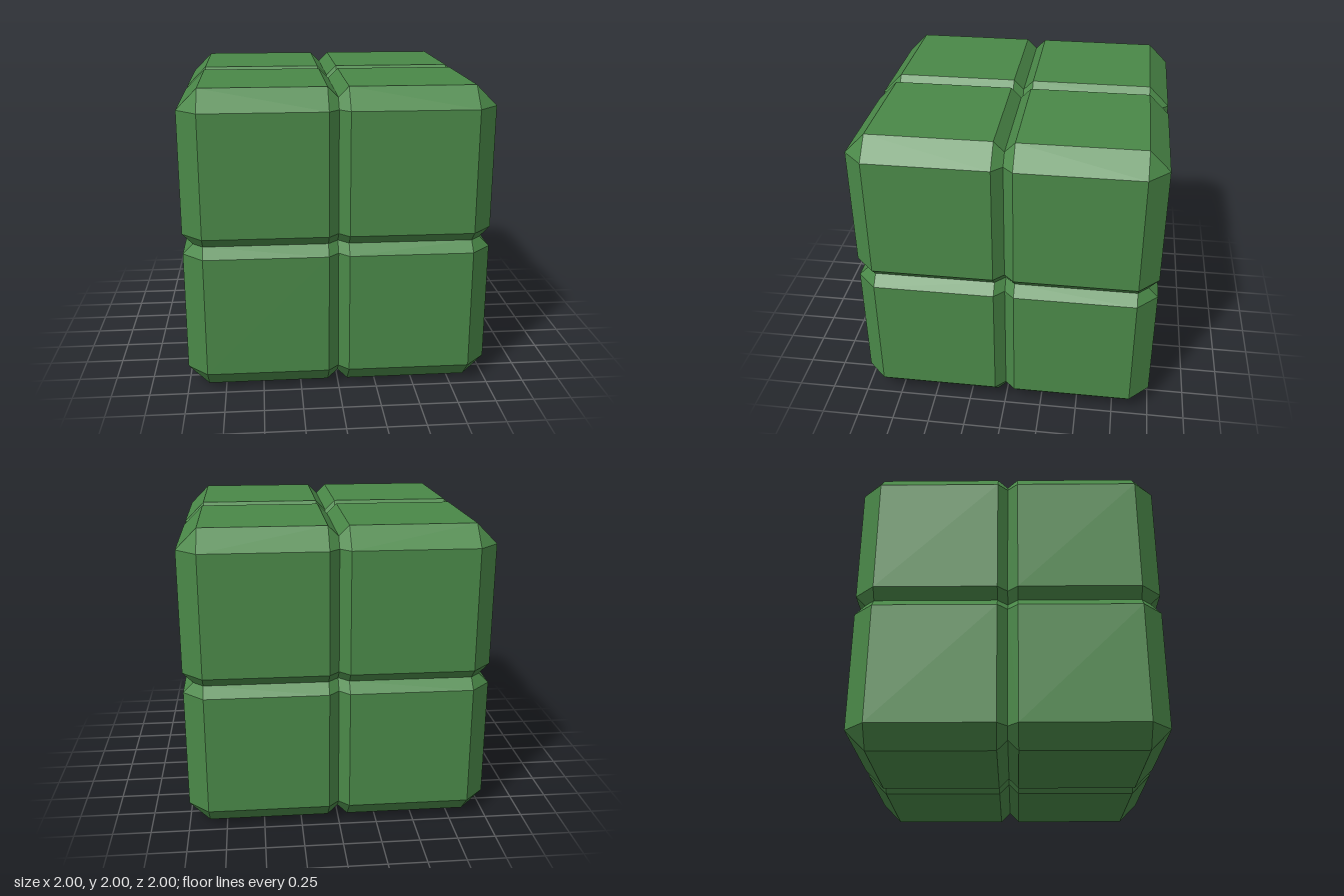
import * as THREE from 'three';
import { ConvexGeometry } from 'three/addons/geometries/ConvexGeometry.js';

// One octant block from 0 to 1: narrow bevels beside the seams, wide bevels on the outer edges
function blockPoints() {
  const a = 1 / 15;      // seam bevel
  const s = 1 - a;       // seam depth level
  const b = 1 - 2 * a;   // outer bevel start
  const pattern = [
    [1, b, b],                                      // outer corner
    [1, a, b], [b, a, 1], [b, 0, s], [s, 0, b],     // seam meeting an outer edge
    [1, a, a], [s, a, 0], [s, 0, a], [b, 0, 0],     // seam crossing on a face
  ];
  const points = [[0, 0, 0]];
  for (const [x, y, z] of pattern) points.push([x, y, z], [z, x, y], [y, z, x]);
  return points;
}

export function createModel() {
  const group = new THREE.Group();
  group.name = 'segmentedCube';
  const green = new THREE.MeshStandardMaterial({ color: 0x4a8848 });
  green.name = 'leaf green';

  // Mirror the block into all eight octants
  const points = blockPoints();
  for (const sy of [-1, 1]) {
    for (const sz of [-1, 1]) {
      for (const sx of [-1, 1]) {
        const corners = points.map(([x, y, z]) => new THREE.Vector3(x * sx, y * sy + 1, z * sz));
        const block = new THREE.Mesh(new ConvexGeometry(corners), green);
        block.name = (sy > 0 ? 'upper' : 'lower') + (sz > 0 ? 'Front' : 'Back') + (sx > 0 ? 'Left' : 'Right') + 'Block';
        group.add(block);
      }
    }
  }
  return group;
}
